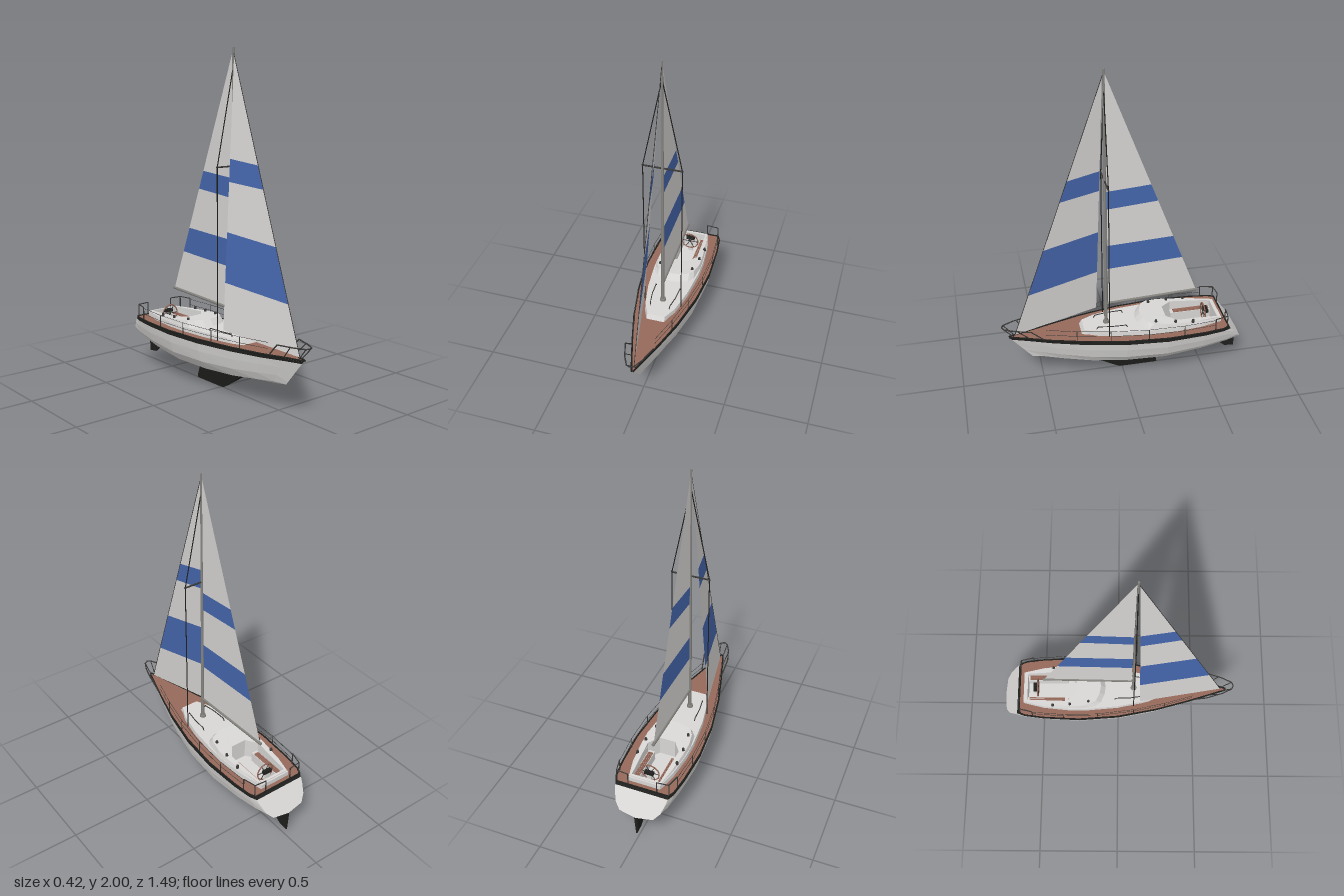
import * as THREE from 'three';
import { mergeGeometries } from 'three/addons/utils/BufferGeometryUtils.js';

const paint = (name, color, side = THREE.FrontSide) => {
  const m = new THREE.MeshStandardMaterial({ color, side });
  m.name = name;
  return m;
};
const V = (x, y, z) => new THREE.Vector3(x, y, z);
const lerp = THREE.MathUtils.lerp;

export function createModel() {
  const white = paint('white', 0xd8d7d5), black = paint('black', 0x1f1f1d), teak = paint('teak', 0x96695a);
  const metal = paint('metal', 0x85847f), dark = paint('darkGrey', 0x3a3937);
  const cloth = paint('sailCloth', 0xd6d4d2, THREE.DoubleSide), blue = paint('blueCloth', 0x4566ac, THREE.DoubleSide);
  const model = new THREE.Group();
  model.name = 'sailboat';
  const add = (name, geo, mat, x = 0, y = 0, z = 0) => {
    const m = new THREE.Mesh(geo, mat);
    m.name = name;
    m.position.set(x, y, z);
    model.add(m);
    return m;
  };
  // Faceted surface from a flat list of triangle corners
  const facets = (pts) => {
    const g = new THREE.BufferGeometry().setFromPoints(pts);
    g.computeVertexNormals();
    return g;
  };
  // Straight round rods through a chain of points
  const rods = (name, mat, r, ...chains) => {
    const parts = [];
    for (const pts of chains) for (let i = 0; i + 1 < pts.length; i++) {
      const d = pts[i + 1].clone().sub(pts[i]);
      const g = new THREE.CylinderGeometry(r, r, d.length(), 6);
      g.applyQuaternion(new THREE.Quaternion().setFromUnitVectors(V(0, 1, 0), d.clone().normalize()));
      const c = pts[i].clone().addScaledVector(d, 0.5);
      parts.push(g.translate(c.x, c.y, c.z));
    }
    return add(name, mergeGeometries(parts), mat);
  };

  // Hull stations: z at deck, z at keel, half beam, keel height
  const stations = [
    [0.70, 0.56, 0.004, 0.165], [0.60, 0.47, 0.036, 0.15], [0.45, 0.36, 0.082, 0.138],
    [0.25, 0.2, 0.138, 0.122], [0, 0, 0.187, 0.115], [-0.25, -0.25, 0.207, 0.115],
    [-0.48, -0.48, 0.197, 0.14], [-0.6, -0.65, 0.182, 0.17], [-0.64, -0.745, 0.165, 0.19]];
  // Section: height fraction, beam fraction, from deck edge to keel
  const section = [[1, 1], [0.88, 1], [0.65, 0.95], [0.35, 0.85], [0.1, 0.64], [0, 0]];
  const rings = stations.map(([zt, zb, w, k]) => {
    const top = zt > 0.5 ? 0.335 : 0.33;
    const half = section.map(([t, f]) => V(w * f, lerp(k, top, t), lerp(zb, zt, t)));
    return [...half, ...half.slice(0, -1).reverse().map((p) => V(-p.x, p.y, p.z))];
  });
  const last = rings[0].length - 1, hull = [], band = [];
  for (let i = 0; i + 1 < rings.length; i++) for (let j = 0; j < last; j++) {
    const [a, b, c, d] = [rings[i][j], rings[i][j + 1], rings[i + 1][j + 1], rings[i + 1][j]];
    (j === 0 || j === last - 1 ? band : hull).push(a, b, c, a, c, d);
  }
  const stern = rings[rings.length - 1];
  for (let j = 2; j < last - 1; j++) hull.push(stern[1], stern[j], stern[j + 1]);
  band.push(stern[0], stern[1], stern[last - 1], stern[0], stern[last - 1], stern[last]);
  add('hull', facets(hull), white);
  add('sheerBand', facets(band), black);
  const edge = rings.map((r) => r[0]);
  rods('toeRail', black, 0.005, [...edge, ...edge.map((p) => V(-p.x, p.y, p.z)).reverse()]);

  // Mirrored plan outline from [x, z] points of the left half
  const outline = (half, Type = THREE.Shape) => new Type([
    ...half, ...half.filter((p) => p[0] > 0).reverse().map(([x, z]) => [-x, z]),
  ].map(([x, z]) => new THREE.Vector2(x, -z)));
  const well = [[0.05, -0.265], [0.1, -0.33], [0.088, -0.585]];
  const slab = (half, y0, y1, rule) => {
    const s = outline(half);
    s.holes.push(outline(well, THREE.Path));
    const g = new THREE.ExtrudeGeometry(s, { depth: y1 - y0, bevelEnabled: false });
    g.rotateX(-Math.PI / 2).translate(0, y0, 0);
    const p = g.attributes.position;
    for (let i = 0; i < p.count; i++) if (p.getY(i) > (y0 + y1) / 2) rule(p, i, p.getX(i), p.getZ(i));
    g.computeVertexNormals();
    return g;
  };

  // Deck, cabin trunk with sloped nose, and coachroof falling aft
  const deck = outline(stations.map(([z, , w]) => [w, z]));
  deck.holes.push(outline(well, THREE.Path));
  add('deck', new THREE.ShapeGeometry(deck).rotateX(-Math.PI / 2), teak, 0, 0.329, 0);
  add('cabinTrunk', slab([[0.058, 0.305], [0.1, 0.16], [0.135, 0], [0.155, -0.2], [0.155, -0.32], [0.138, -0.48], [0.105, -0.61]],
    0.25, 0.357, (p, i, x, z) => {
      if (z > 0.2) p.setZ(i, z - 0.06);
      if (Math.abs(x) > 0.101 || z > 0.1) p.setX(i, x * 0.94);
    }), white);
  add('coachroof', slab([[0, -0.075], [0.05, -0.083], [0.1, -0.105], [0.13, -0.14], [0.145, -0.25], [0.142, -0.34], [0.128, -0.47], [0.098, -0.6]],
    0.35, 0.395, (p, i, x, z) => {
      const front = z > -0.2;
      p.setY(i, lerp(0.395, 0.362, (-0.1 - z) / 0.5));
      if (front) p.setZ(i, z - 0.035);
      if (Math.abs(x) > 0.101) p.setX(i, x * 0.94);
    }), white);

  // Cockpit: floor, benches, slats
  add('cockpitFloor', new THREE.BoxGeometry(0.2, 0.01, 0.34), white, 0, 0.255, -0.43);
  for (const s of [1, -1]) {
    add('bench', new THREE.BoxGeometry(0.04, 0.06, 0.26), white, s * 0.076, 0.29, -0.455);
    for (let i = 0; i < 3; i++)
      add('benchSlat', new THREE.BoxGeometry(0.008, 0.006, 0.23), teak, s * (0.064 + i * 0.011), 0.323, -0.46);
    // Winches and grab rails
    for (const [x, z, y] of [[0.126, -0.42, 0.378], [0.121, -0.31, 0.386], [0.105, -0.19, 0.394]])
      add('winch', new THREE.CylinderGeometry(0.007, 0.01, 0.02, 10), dark, s * x, y, z);
    rods('grabRail', dark, 0.003, [V(s * 0.078, 0.355, -0.02), V(s * 0.078, 0.373, -0.01),
      V(s * 0.075, 0.373, 0.08), V(s * 0.062, 0.373, 0.16), V(s * 0.06, 0.355, 0.17)]);
  }

  // Steering wheel and pedestal
  add('steeringWheel', new THREE.TorusGeometry(0.055, 0.004, 6, 24), teak, 0, 0.345, -0.52);
  rods('wheelSpokes', dark, 0.0025, ...[0, 1, 2].map((i) => {
    const a = i * Math.PI / 3, c = 0.055 * Math.cos(a), s = 0.055 * Math.sin(a);
    return [V(c, 0.345 + s, -0.52), V(-c, 0.345 - s, -0.52)];
  }));
  add('pedestal', new THREE.BoxGeometry(0.03, 0.1, 0.02), white, 0, 0.305, -0.537);
  add('instrumentBox', new THREE.BoxGeometry(0.055, 0.02, 0.022), black, 0, 0.36, -0.537);

  // Keel and rudder: side profiles [z, y] thinned by height
  const fin = (name, pts, halfTop, halfLow) => {
    const g = new THREE.ExtrudeGeometry(new THREE.Shape(pts.map(([z, y]) => new THREE.Vector2(-z, y))),
      { depth: 1, bevelEnabled: false });
    g.translate(0, 0, -0.5).rotateY(Math.PI / 2);
    const ys = pts.map((q) => q[1]), lo = Math.min(...ys), hi = Math.max(...ys), p = g.attributes.position;
    for (let i = 0; i < p.count; i++)
      p.setX(i, 2 * p.getX(i) * lerp(halfLow, halfTop, (p.getY(i) - lo) / (hi - lo)));
    g.computeVertexNormals();
    add(name, g, black);
  };
  fin('keel', [[0.21, 0.128], [0.18, 0.105], [0.05, 0.02], [0.015, 0], [-0.225, 0], [-0.222, 0.02], [-0.165, 0.128]], 0.028, 0.004);
  fin('rudder', [[-0.54, 0.165], [-0.625, 0.15], [-0.645, 0.085], [-0.675, 0.058], [-0.735, 0.05], [-0.738, 0.19], [-0.6, 0.19]], 0.012, 0.004);

  // Mast, boom and standing rigging
  add('mast', new THREE.CylinderGeometry(0.006, 0.011, 1.65, 10), metal, 0, 1.175, 0.1);
  add('mastStep', new THREE.CylinderGeometry(0.018, 0.02, 0.02, 10), metal, 0, 0.362, 0.1);
  rods('boom', metal, 0.009, [V(0, 0.497, 0.1), V(0, 0.523, -0.475)]);
  rods('spreader', dark, 0.005, [V(-0.12, 1.335, 0.1), V(0.12, 1.335, 0.1)]);
  rods('shrouds', black, 0.003, ...[1, -1].map((s) => [V(s * 0.115, 0.33, 0.1), V(s * 0.115, 1.335, 0.1), V(0, 1.89, 0.1)]));
  rods('forestay', dark, 0.002, [V(0, 1.965, 0.105), V(0, 0.34, 0.665)]);

  // Sails: panels between cuts given as [luff height, leech height]
  const sail = (name, head, tack, clew, cuts) => {
    const at = (from, y) => from.clone().lerp(head, (y - from.y) / (head.y - from.y));
    const rows = [[tack.y, clew.y], ...cuts, [head.y, head.y]].map(([a, b]) => [at(tack, a), at(clew, b)]);
    for (let i = 0; i + 1 < rows.length; i++) {
      const [[a, b], [d, c]] = [rows[i], rows[i + 1]];
      add(name + (i % 2 ? 'Stripe' : 'Panel'), facets(i + 2 < rows.length ? [a, b, c, a, c, d] : [a, b, c]), i % 2 ? blue : cloth);
    }
  };
  sail('mainsail', V(0, 1.97, 0.093), V(0, 0.5, 0.085), V(0, 0.525, -0.465),
    [[0.745, 0.77], [0.905, 0.925], [1.15, 1.175], [1.265, 1.285]]);
  sail('jib', V(0, 1.96, 0.108), V(0, 0.345, 0.66), V(-0.105, 0.4, 0.142),
    [[0.62, 0.675], [0.92, 0.965], [1.225, 1.25], [1.355, 1.38]]);

  // Lifelines, stanchions, bow and stern rails
  const beam = (z) => {
    const i = Math.max(1, stations.findIndex((s) => s[0] <= z));
    const [a, b] = [stations[i - 1], stations[i]];
    return lerp(a[2], b[2], (a[0] - z) / (a[0] - b[0]));
  };
  const bow = (s) => [V(s * 0.07, 0.33, 0.49), V(s * 0.083, 0.41, 0.57), V(s * 0.052, 0.41, 0.67), V(s * 0.022, 0.41, 0.73)];
  rods('bowRail', dark, 0.004, [...bow(1), V(0, 0.412, 0.74), ...bow(-1).reverse()]);
  for (const s of [1, -1]) {
    const posts = [0.48, 0.3, 0.1, -0.13, -0.35, -0.55];
    const post = (z, y) => V(s * (beam(z) - 0.006), y, z);
    rods('bowRailLegs', dark, 0.003, [V(s * 0.022, 0.41, 0.73), V(s * 0.012, 0.335, 0.665)],
      [V(s * 0.06, 0.41, 0.65), V(s * 0.04, 0.335, 0.58)]);
    rods('stanchions', dark, 0.0025, ...posts.slice(1).map((z) => [post(z, 0.33), post(z, 0.4)]));
    rods('lifelines', dark, 0.0013, ...[0.365, 0.4].map((y) => posts.map((z) => post(z, y))));
    rods('sternRail', dark, 0.0035, [post(-0.55, 0.33), post(-0.55, 0.407), post(-0.63, 0.407),
      V(s * 0.09, 0.407, -0.637), V(s * 0.09, 0.33, -0.637)], [post(-0.63, 0.33), post(-0.63, 0.407)]);
  }
  return model;
}
